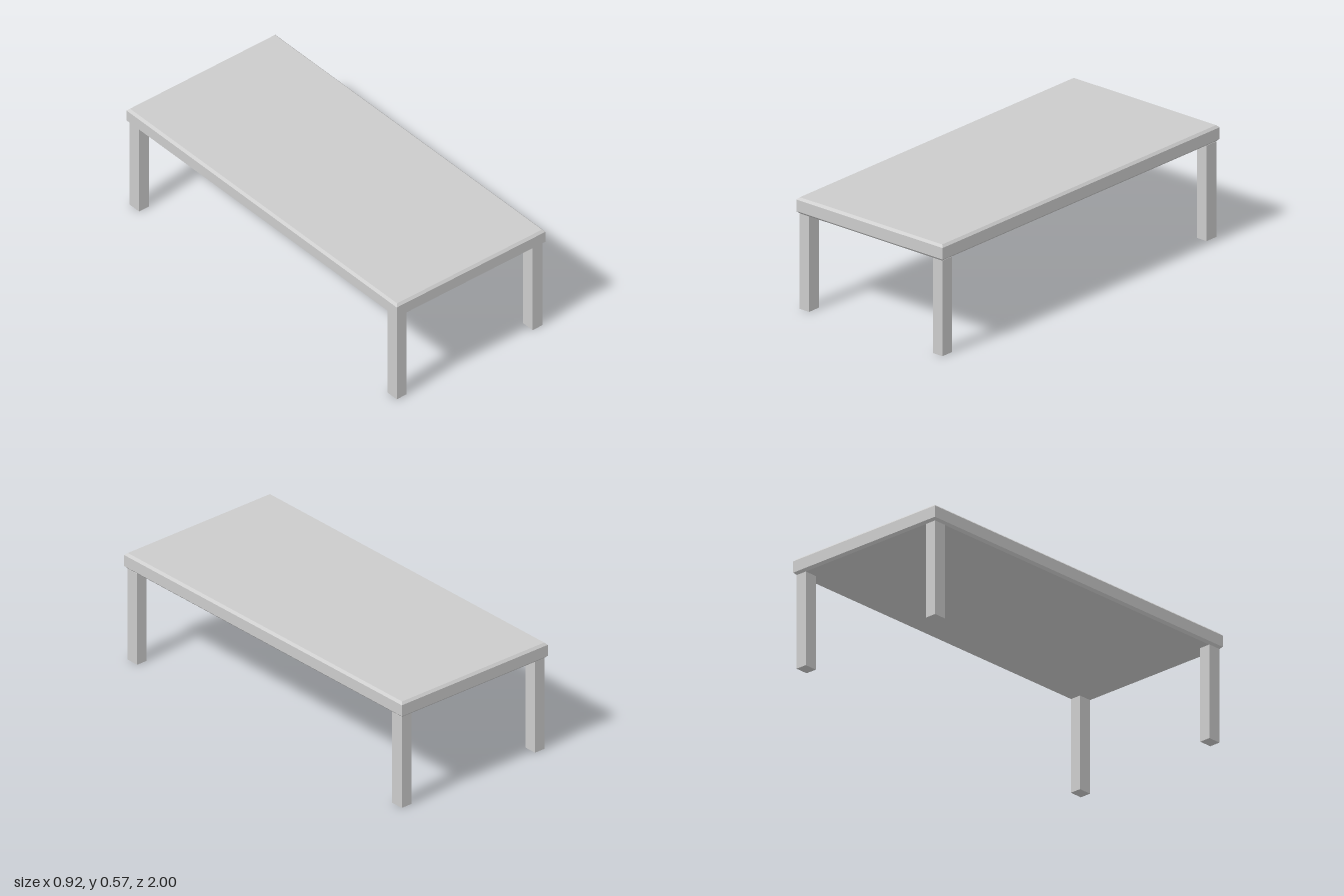
import * as THREE from 'three';

const TOP = { halfX: 0.46, halfZ: 1, bottom: 0.49, height: 0.083, bevel: 0.012 };
const LEG = { width: 0.06, depth: 0.07, x: 0.42, z: 0.953 };

export function createModel() {
  const table = new THREE.Group();
  table.name = 'table';
  const material = new THREE.MeshStandardMaterial({ color: 0xcccccc, flatShading: true });

  // Tabletop: slab with chamfered upper and lower edges
  const x = TOP.halfX - TOP.bevel;
  const z = TOP.halfZ - TOP.bevel;
  const outline = new THREE.Shape([
    new THREE.Vector2(-x, -z),
    new THREE.Vector2(x, -z),
    new THREE.Vector2(x, z),
    new THREE.Vector2(-x, z),
  ]);
  const slab = new THREE.ExtrudeGeometry(outline, {
    depth: TOP.height - 2 * TOP.bevel,
    bevelThickness: TOP.bevel,
    bevelSize: TOP.bevel,
    bevelSegments: 1,
  });
  slab.rotateX(-Math.PI / 2);
  const tabletop = new THREE.Mesh(slab, material);
  tabletop.name = 'tabletop';
  tabletop.position.y = TOP.bottom + TOP.bevel;
  table.add(tabletop);

  // Four square-cut legs, one at each corner
  const legGeometry = new THREE.BoxGeometry(LEG.width, TOP.bottom, LEG.depth);
  for (const [sideX, nameX] of [[1, 'Left'], [-1, 'Right']]) {
    for (const [sideZ, nameZ] of [[1, 'front'], [-1, 'back']]) {
      const leg = new THREE.Mesh(legGeometry, material);
      leg.name = `${nameZ}${nameX}Leg`;
      leg.position.set(sideX * LEG.x, TOP.bottom / 2, sideZ * LEG.z);
      table.add(leg);
    }
  }
  return table;
}
